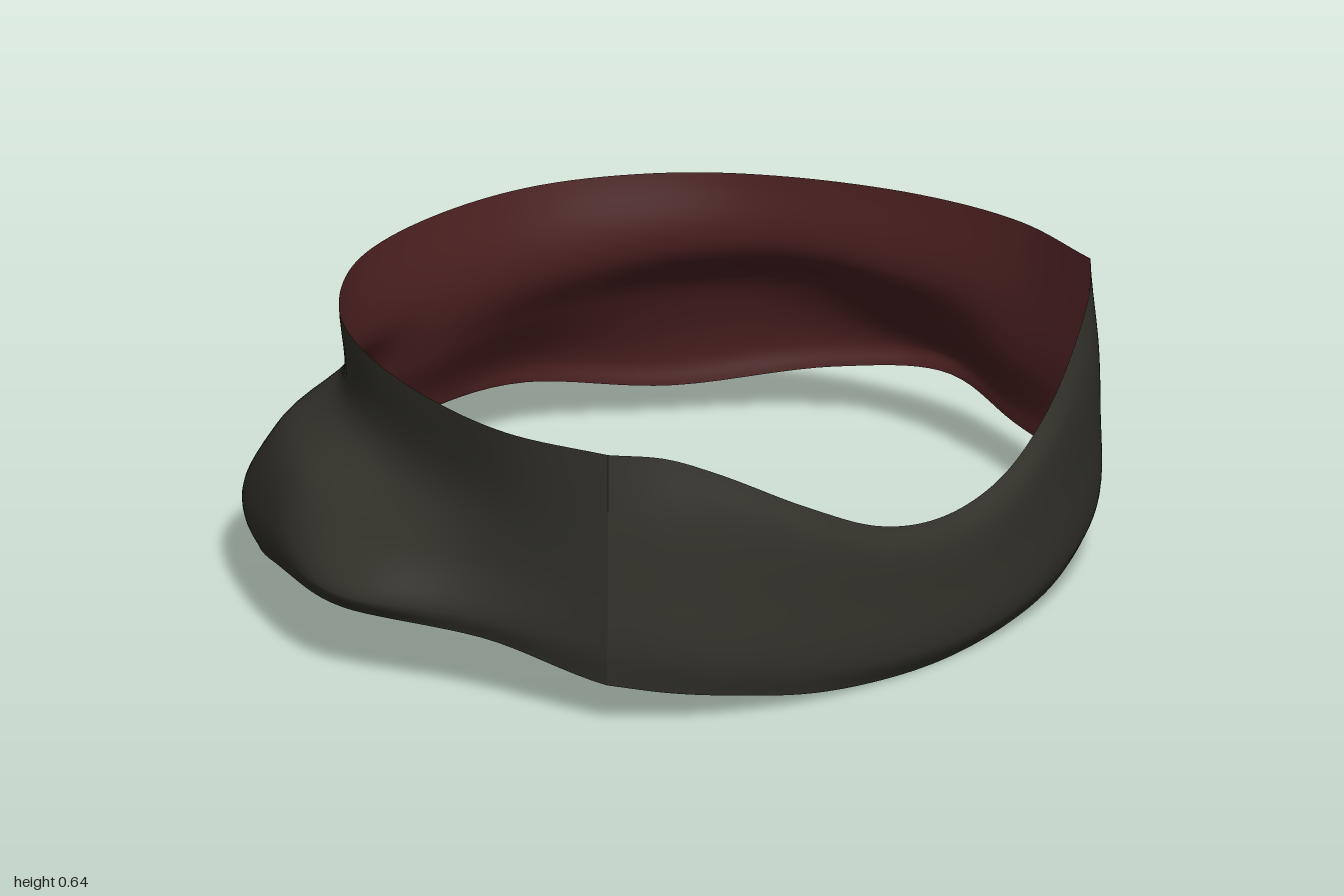
import * as THREE from 'three';

const outerCloth = new THREE.MeshStandardMaterial({ color: 0x33322a });
outerCloth.name = 'dark olive';
const innerLining = new THREE.MeshStandardMaterial({ color: 0x4b2020 });
innerLining.name = 'dark red';

const { smoothstep } = THREE.MathUtils;

// Cross-sections from rim to hem: rim, waist, middle, flare, hem as [x, y, z]
const corner = [[0.8, 0.645, 0.51], [0.806, 0.48, 0.515], [0.81, 0.34, 0.518], [0.812, 0.18, 0.518], [0.802, 0.115, 0.508]];

// Half of the rear collar, from front corner to back centre
const rearHalf = [
  corner,
  [[0.856, 0.645, 0.25], [0.846, 0.45, 0.23], [0.862, 0.32, 0.2], [0.893, 0.2, 0.2], [0.88, 0.15, 0.2]],
  [[0.82, 0.645, -0.03], [0.82, 0.45, -0.05], [0.905, 0.325, -0.09], [1.0, 0.2, -0.12], [0.975, 0.16, -0.11]],
  [[0.705, 0.645, -0.32], [0.722, 0.47, -0.32], [0.85, 0.345, -0.37], [0.922, 0.19, -0.36], [0.895, 0.13, -0.35]],
  [[0.55, 0.645, -0.53], [0.545, 0.47, -0.53], [0.65, 0.33, -0.61], [0.71, 0.15, -0.64], [0.69, 0.08, -0.625]],
  [[0.3, 0.645, -0.695], [0.3, 0.46, -0.675], [0.36, 0.32, -0.75], [0.44, 0.17, -0.816], [0.43, 0.125, -0.805]],
  [[0, 0.645, -0.745], [0, 0.47, -0.718], [0, 0.32, -0.75], [0, 0.2, -0.793], [0, 0.165, -0.787]],
];

// Half of the dipped front panel, from front corner to front centre
const frontHalf = [
  corner,
  [[0.705, 0.63, 0.595], [0.715, 0.49, 0.61], [0.72, 0.32, 0.612], [0.72, 0.16, 0.612], [0.706, 0.091, 0.6]],
  [[0.6, 0.58, 0.66], [0.605, 0.48, 0.68], [0.61, 0.3, 0.686], [0.61, 0.13, 0.686], [0.6, 0.07, 0.67]],
  [[0.4, 0.465, 0.743], [0.402, 0.4, 0.765], [0.405, 0.25, 0.771], [0.405, 0.09, 0.769], [0.4, 0.032, 0.748]],
  [[0.2, 0.372, 0.783], [0.2, 0.32, 0.807], [0.2, 0.2, 0.814], [0.2, 0.06, 0.812], [0.2, 0.011, 0.785]],
  [[0, 0.34, 0.792], [0, 0.29, 0.816], [0, 0.18, 0.825], [0, 0.05, 0.823], [0, 0.002, 0.795]],
];

const flip = (section) => section.map(([x, y, z]) => [-x, y, z]);

// Mirror a half into a full run of sections
const fullRun = (half) => [...half, ...half.slice(0, -1).reverse().map(flip)];

// Slightly uneven drape: the band sits a little to the right and its hem tilts
function drape(p, row) {
  const { x, z } = p;
  p.x -= 0.017 * smoothstep(z, -0.1, 0.5);
  if (row >= 2) {
    p.x -= 0.055 * smoothstep(-z, 0.45, 0.85);
    if (x < 0) p.y += 0.025 * smoothstep(-x, 0.1, 0.6) * smoothstep(-z, 0.1, 0.5);
  }
  if (row === 4) p.y += 0.022 * x * smoothstep(z, 0.2, 0.5);
  return p;
}

// Smooth sheet lofted through the sections
function sheet(sections, inside) {
  const nu = 96, nv = 28;
  const rows = sections[0].map((_, r) =>
    new THREE.CatmullRomCurve3(sections.map((s) => new THREE.Vector3(...s[r]))));
  const geo = new THREE.PlaneGeometry(1, 1, nu, nv);
  const pos = geo.attributes.position;
  for (let i = 0; i <= nu; i++) {
    const u = inside ? 1 - i / nu : i / nu;
    const profile = new THREE.CatmullRomCurve3(rows.map((c, r) => drape(c.getPoint(u), r)));
    for (let j = 0; j <= nv; j++) {
      const v = j / nv;
      const p = profile.getPoint(v);
      if (inside) {
        // Lining sits inside the cloth and meets it at both edges
        const gap = 0.016 + 0.007 * smoothstep(-p.z, -0.5, 0.3);
        const k = 1 - gap * Math.sin(Math.PI * v) / Math.hypot(p.x, p.z);
        p.x *= k;
        p.z *= k;
      }
      pos.setXYZ(j * (nu + 1) + i, p.x, Math.max(0, p.y), p.z);
    }
  }
  geo.computeVertexNormals();
  return geo;
}

export function createModel() {
  const model = new THREE.Group();
  model.name = 'collarBand';
  const front = fullRun(frontHalf).reverse(); // right corner to left corner
  const rear = fullRun(rearHalf);             // left corner round the back to the right
  for (const [name, run] of [['frontPanel', front], ['rearCollar', rear]]) {
    const outer = new THREE.Mesh(sheet(run, false), outerCloth);
    outer.name = name;
    const inner = new THREE.Mesh(sheet(run, true), innerLining);
    inner.name = name + 'Lining';
    model.add(outer, inner);
  }
  return model;
}
